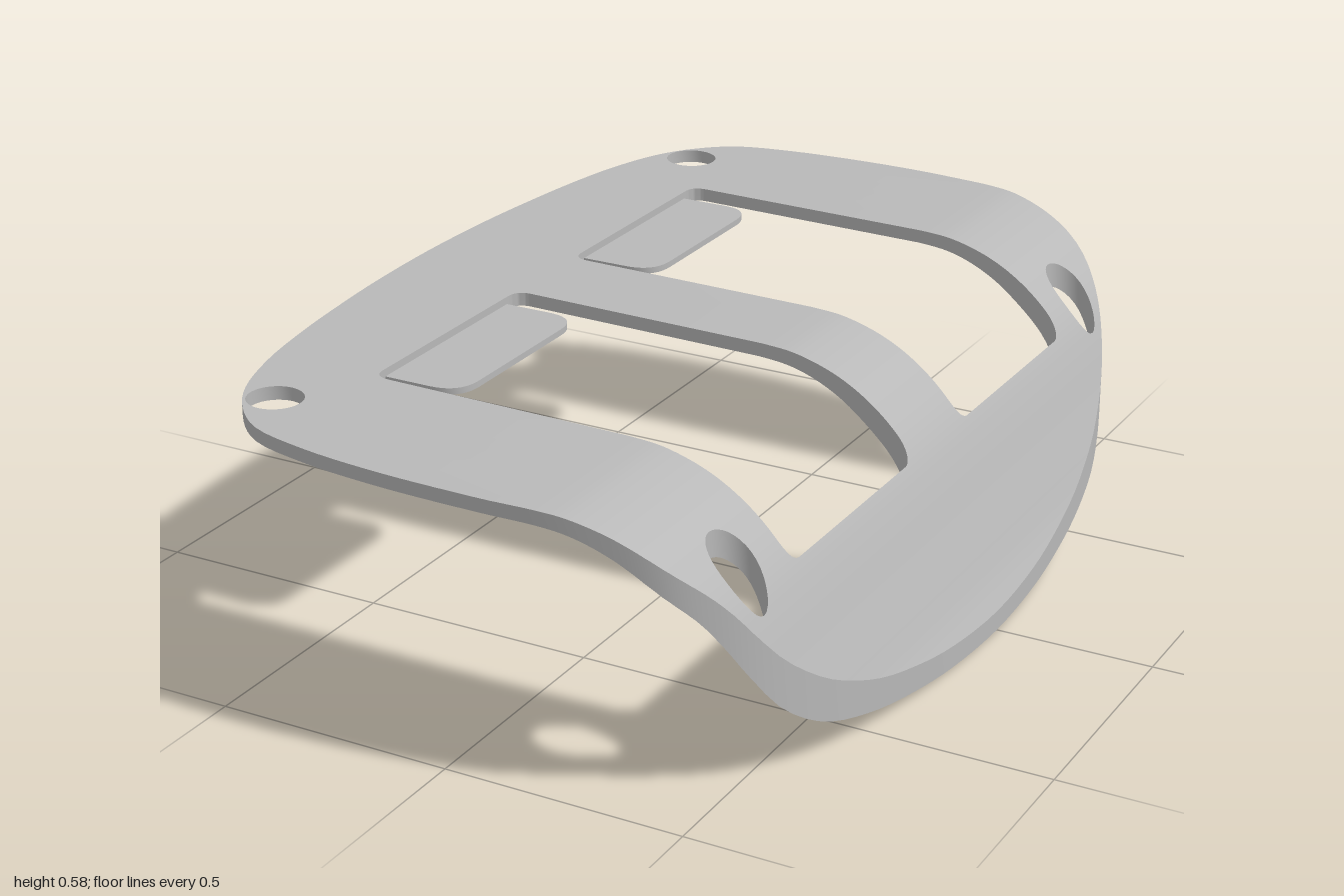
import * as THREE from 'three';
import { toCreasedNormals } from 'three/addons/utils/BufferGeometryUtils.js';

const V2 = (p) => new THREE.Vector2(p[0], p[1]);
const spline = (pts) => new THREE.SplineCurve(pts.map(V2)).getPoints(160);

// Side profile of the bent sheet: upper and lower surface heights over x
const upper = spline([[-0.7, 0.578], [-0.3, 0.573], [0, 0.57], [0.1, 0.568], [0.2, 0.566], [0.27, 0.558],
  [0.35, 0.532], [0.42, 0.492], [0.48, 0.44], [0.52, 0.387], [0.55, 0.325], [0.58, 0.248], [0.61, 0.172],
  [0.64, 0.097], [0.668, 0.043]]);
const lower = spline([[-0.7, 0.55], [-0.3, 0.545], [0, 0.542], [0.1, 0.54], [0.2, 0.537], [0.27, 0.526],
  [0.34, 0.497], [0.4, 0.456], [0.47, 0.39], [0.51, 0.325], [0.545, 0.242], [0.575, 0.16], [0.605, 0.093],
  [0.64, 0.035], [0.668, 0]]);

function heightAt(curve, x) {
  let i = 1;
  while (i < curve.length - 1 && curve[i].x < x) i++;
  const a = curve[i - 1], b = curve[i];
  return a.y + (b.y - a.y) * (x - a.x) / (b.x - a.x);
}

// Rounded rectangle in plan; r gives the radius at the -x and the +x corners
function roundedRect(path, x0, x1, z0, z1, rl, rr) {
  const y0 = -z1, y1 = -z0;
  path.moveTo(x0 + rl, y0);
  path.lineTo(x1 - rr, y0);
  path.quadraticCurveTo(x1, y0, x1, y0 + rr);
  path.lineTo(x1, y1 - rr);
  path.quadraticCurveTo(x1, y1, x1 - rr, y1);
  path.lineTo(x0 + rl, y1);
  path.quadraticCurveTo(x0, y1, x0, y1 - rl);
  path.lineTo(x0, y0 + rl);
  path.quadraticCurveTo(x0, y0, x0 + rl, y0);
  return path;
}

// Cut every triangle along x = c so that the sheet can bend there
function sliceAt(tris, c) {
  const out = [];
  const cut = (a, b) => {
    const t = (c - a.p.x) / (b.p.x - a.p.x);
    const v = { p: a.p.clone().lerp(b.p, t), n: a.n.clone().lerp(b.n, t).normalize() };
    v.p.x = c;
    return v;
  };
  for (const tri of tris) {
    const side = tri.map((v) => (Math.abs(v.p.x - c) < 1e-6 ? 0 : Math.sign(v.p.x - c)));
    if (!(side.includes(1) && side.includes(-1))) { out.push(tri); continue; }
    for (const s of [-1, 1]) {
      const poly = [];
      for (let i = 0; i < 3; i++) {
        const j = (i + 1) % 3;
        if (side[i] === s || side[i] === 0) poly.push(tri[i]);
        if (side[i] * side[j] < 0) poly.push(cut(tri[i], tri[j]));
      }
      for (let i = 2; i < poly.length; i++) out.push([poly[0], poly[i - 1], poly[i]]);
    }
  }
  return out;
}

// Map a unit-thick flat slab onto the bent profile
function bend(flat) {
  const p = flat.attributes.position, n = flat.attributes.normal;
  let tris = [];
  for (let i = 0; i < p.count; i += 3) {
    tris.push([0, 1, 2].map((k) => ({
      p: new THREE.Vector3().fromBufferAttribute(p, i + k),
      n: new THREE.Vector3().fromBufferAttribute(n, i + k),
    })));
  }
  for (let i = 0; i <= 40; i++) tris = sliceAt(tris, 0.18 + i * 0.0119);
  const pos = [], nor = [];
  for (const v of tris.flat()) {
    const { x, y, z } = v.p;
    const lo = heightAt(lower, x), hi = heightAt(upper, x);
    pos.push(x, lo + (hi - lo) * y, z);
    const normal = v.n.clone();
    if (Math.abs(normal.y) > 0.5) {
      const curve = normal.y > 0 ? upper : lower, e = 0.008;
      const slope = (heightAt(curve, x + e) - heightAt(curve, x - e)) / (2 * e);
      normal.set(-slope, 1, 0).normalize().multiplyScalar(Math.sign(v.n.y));
    }
    nor.push(normal.x, normal.y, normal.z);
  }
  const g = new THREE.BufferGeometry();
  g.setAttribute('position', new THREE.Float32BufferAttribute(pos, 3));
  g.setAttribute('normal', new THREE.Float32BufferAttribute(nor, 3));
  return g;
}

export function createModel() {
  const group = new THREE.Group();
  const grey = new THREE.MeshStandardMaterial({ color: 0xb8b8b8 });
  grey.name = 'plainGrey';

  // Plan outline, one quarter mirrored to all four
  const q = [[0.668, 0], [0.662, 0.2], [0.65, 0.35], [0.63, 0.52], [0.602, 0.67], [0.558, 0.8],
    [0.505, 0.88], [0.43, 0.943], [0.3, 0.978], [0.15, 0.995], [0, 1]];
  const half = [...q, ...q.slice(0, -1).reverse().map(([x, y]) => [-x, y])];
  const loop = [...half, ...half.slice(1, -1).reverse().map(([x, y]) => [x, -y])];
  const closed = new THREE.CatmullRomCurve3(loop.map(([x, y]) => new THREE.Vector3(x, y, 0)), true);
  const outline = closed.getPoints(160).slice(0, -1).map((v) => new THREE.Vector2(v.x, v.y));
  const plan = new THREE.Shape(outline);

  // Two windows and four screw holes
  for (const [z0, z1] of [[-0.64, -0.115], [0.11, 0.632]]) {
    plan.holes.push(roundedRect(new THREE.Path(), -0.38, 0.522, z0, z1, 0.035, 0.035));
  }
  for (const [x, z] of [[-0.48, -0.815], [-0.48, 0.812], [0.485, -0.78], [0.485, 0.772]]) {
    plan.holes.push(new THREE.Path().absarc(x, -z, 0.056, 0, Math.PI * 2, true));
  }
  const slab = new THREE.ExtrudeGeometry(plan, { depth: 1, bevelEnabled: false, curveSegments: 16 });
  slab.rotateX(-Math.PI / 2);
  const plate = new THREE.Mesh(bend(toCreasedNormals(slab, 0.6)), grey);
  plate.name = 'bentPlate';
  group.add(plate);

  // Thin tabs reaching into the windows, flush with the underside
  for (const [name, z0, z1] of [['backTab', -0.6, -0.16], ['frontTab', 0.15, 0.592]]) {
    const shape = roundedRect(new THREE.Shape(), -0.39, -0.21, z0, z1, 0.002, 0.07);
    const g = new THREE.ExtrudeGeometry(shape, { depth: 0.013, bevelEnabled: false, curveSegments: 10 });
    g.rotateX(-Math.PI / 2);
    const tab = new THREE.Mesh(toCreasedNormals(g, 0.6), grey);
    tab.name = name;
    tab.position.y = 0.5455;
    group.add(tab);
  }
  return group;
}
